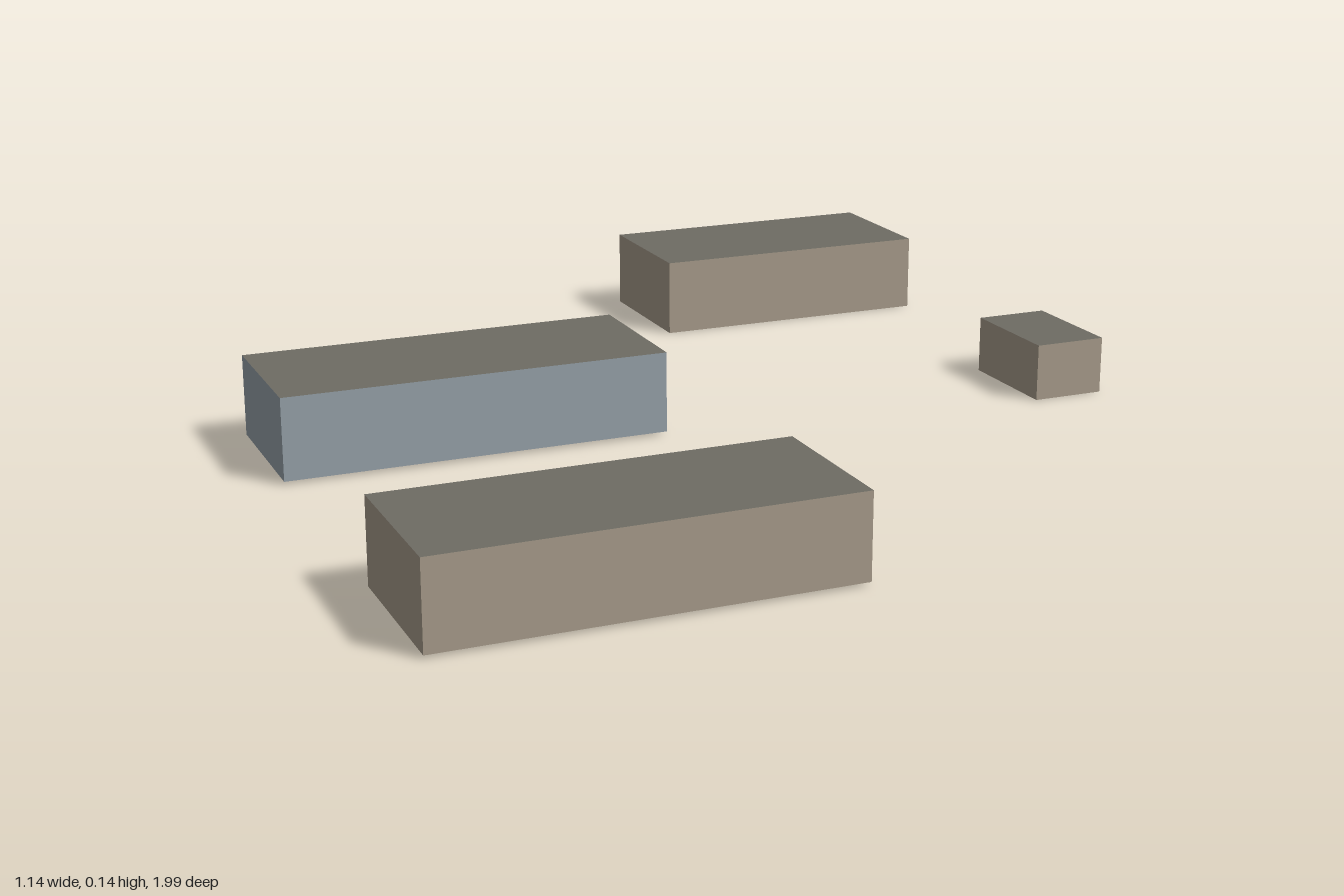
import * as THREE from 'three';

function mat(name, color) {
  const m = new THREE.MeshStandardMaterial({ color, side: THREE.DoubleSide });
  m.name = name;
  return m;
}

// Box shell without a floor: group 0 is the four walls, group 1 the roof
function shellGeometry(w, h, d) {
  const g = new THREE.BoxGeometry(w, h, d);
  const i = Array.from(g.index.array);
  g.setIndex([...i.slice(0, 12), ...i.slice(24, 36), ...i.slice(12, 18)]);
  g.clearGroups();
  g.addGroup(0, 24, 0);
  g.addGroup(24, 6, 1);
  return g;
}

export function createModel() {
  const model = new THREE.Group();
  model.name = 'buildingBlocks';

  const beige = mat('beige wall', 0xa99d8c);
  const blue = mat('blue grey wall', 0x98a3ab);
  const roof = mat('grey roof', 0x6e6c64);

  // All buildings share one street angle
  const angle = -THREE.MathUtils.degToRad(36.6);

  // name, wall, width, depth, bottom, top, x, z
  const buildings = [
    ['backHall', beige, 0.25, 0.498, 0, 0.133, -0.255, -0.723],
    ['middleHall', blue, 0.25, 0.624, 0.005, 0.137, -0.285, 0.25],
    ['frontHall', beige, 0.25, 0.624, 0.005, 0.135, 0.285, 0.672],
    ['smallShed', beige, 0.193, 0.124, 0, 0.095, 0.403, -0.506],
  ];
  for (const [name, wall, w, d, y0, y1, x, z] of buildings) {
    const mesh = new THREE.Mesh(shellGeometry(w, y1 - y0, d), [wall, roof]);
    mesh.name = name;
    mesh.position.set(x, (y0 + y1) / 2, z);
    mesh.rotation.y = angle;
    model.add(mesh);
  }
  return model;
}
